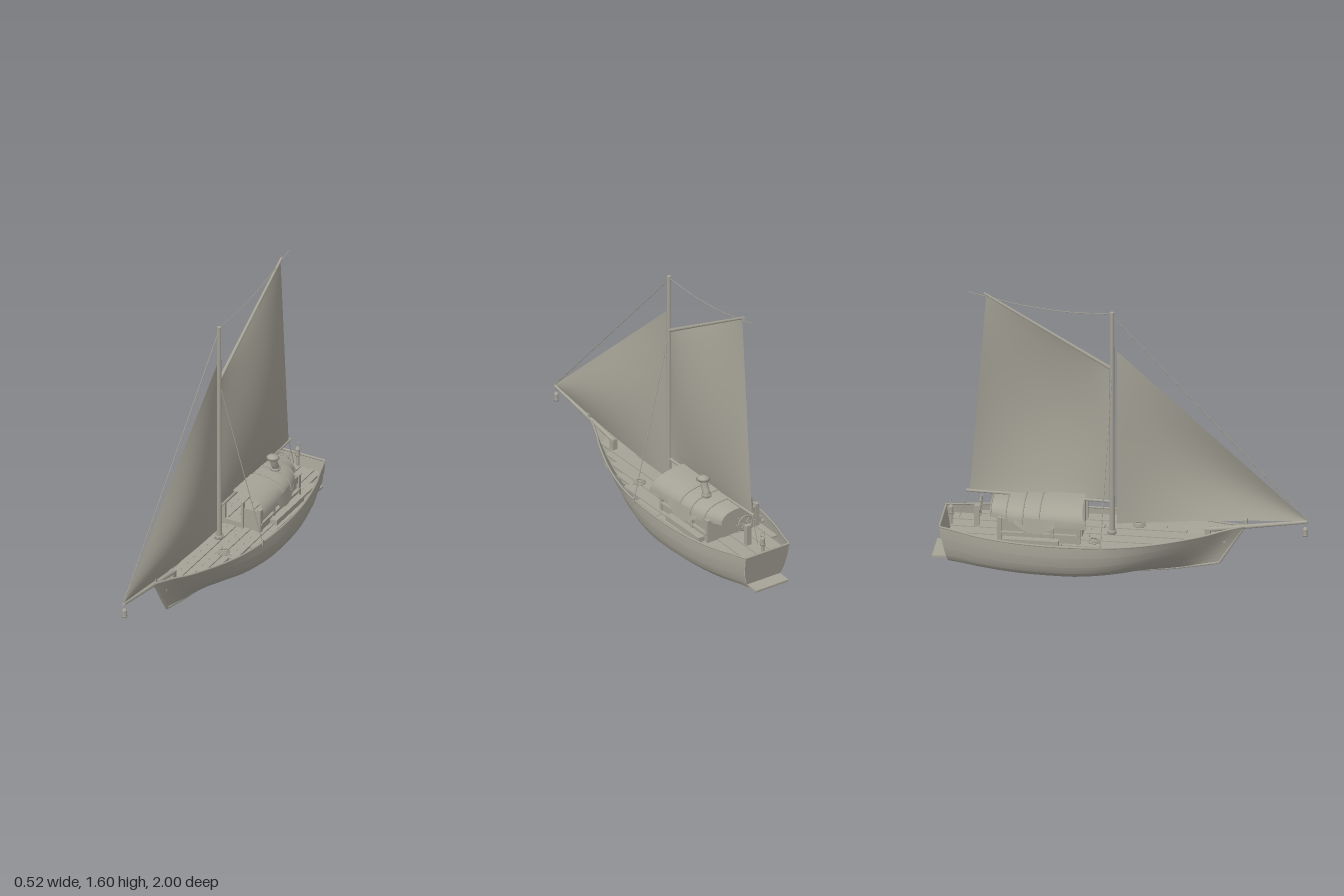
import * as THREE from 'three';

const V = (x, y, z) => new THREE.Vector3(x, y, z);
const lerp = THREE.MathUtils.lerp;
const weathered = new THREE.MeshStandardMaterial({ color: 0xa5a296, side: THREE.DoubleSide });
weathered.name = 'weatheredWood';

// Smooth lookup in an evenly spaced table, t in 0..1
function table(a, t) {
  const f = Math.min(Math.max(t, 0), 1) * (a.length - 1), i = Math.min(Math.floor(f), a.length - 2), k = f - i;
  const p0 = a[Math.max(i - 1, 0)], p1 = a[i], p2 = a[i + 1], p3 = a[Math.min(i + 2, a.length - 1)];
  return p1 + 0.5 * k * (p2 - p0 + k * (2 * p0 - 5 * p1 + 4 * p2 - p3 + k * (3 * (p1 - p2) + p3 - p0)));
}

// Surface from a rule fn(u, v) -> Vector3
function grid(nu, nv, fn) {
  const pos = [], idx = [];
  for (let i = 0; i <= nu; i++) for (let j = 0; j <= nv; j++) pos.push(...fn(i / nu, j / nv).toArray());
  for (let i = 0; i < nu; i++) for (let j = 0; j < nv; j++) {
    const a = i * (nv + 1) + j, b = a + nv + 1;
    idx.push(a, b, a + 1, b, b + 1, a + 1);
  }
  const g = new THREE.BufferGeometry();
  g.setAttribute('position', new THREE.Float32BufferAttribute(pos, 3));
  g.setIndex(idx);
  g.computeVertexNormals();
  return g;
}

// Hull form: u runs stern to bow, v runs keel to sheer
const HALF = [0.14, 0.2, 0.24, 0.254, 0.248, 0.228, 0.175, 0.095, 0.006];
const SHEER = [0.272, 0.258, 0.252, 0.25, 0.25, 0.257, 0.27, 0.288, 0.315];
const KEEL = [0.03, 0.017, 0.009, 0.006, 0.006, 0.012, 0.028, 0.053, 0.09];
const WIDE = [0, 0.32, 0.56, 0.76, 0.9, 0.98, 1];
const HIGH = [0, 0.04, 0.1, 0.22, 0.42, 0.7, 1];
const bowBlend = u => THREE.MathUtils.smoothstep(u, 0.45, 1);
function hullPoint(u, v, side, push = 0) {
  const b = bowBlend(u), h = lerp(table(HIGH, v), v, b);
  const w = lerp(table(WIDE, v), Math.pow(v, 0.9), b);
  const z = lerp(lerp(-0.91, -0.955, h), lerp(0.52, 0.66, h), u);
  const fade = push * (1 - b);
  return V(side * (w * table(HALF, u) + fade), lerp(table(KEEL, u), table(SHEER, u), h) - fade * 0.5, z);
}

export function createModel() {
  const root = new THREE.Group();
  root.name = 'sailingBoat';
  const add = (name, geo, parent = root) => {
    const m = new THREE.Mesh(geo, weathered);
    m.name = name;
    parent.add(m);
    return m;
  };
  const box = (name, w, h, d, x, y, z) => {
    const m = add(name, new THREE.BoxGeometry(w, h, d));
    m.position.set(x, y, z);
    return m;
  };
  const spar = (name, a, b, r0, r1 = r0, sides = 10) => {
    const m = add(name, new THREE.CylinderGeometry(r1, r0, a.distanceTo(b), sides));
    m.position.copy(a).lerp(b, 0.5);
    m.quaternion.setFromUnitVectors(V(0, 1, 0), b.clone().sub(a).normalize());
    return m;
  };
  const tube = (name, pts, r, n = 24, sides = 6) =>
    add(name, new THREE.TubeGeometry(new THREE.CatmullRomCurve3(pts), n, r, sides));
  const lathe = (name, pts, x, y, z, sides = 14) => {
    const m = add(name, new THREE.LatheGeometry(pts.map(p => new THREE.Vector2(...p)), sides));
    m.position.set(x, y, z);
    return m;
  };

  // Overlapping strakes, with cap rails on both sides
  const N = 7;
  for (const s of [-1, 1]) {
    for (let k = 0; k < N; k++)
      add('hullStrake', grid(32, 3, (u, v) =>
        hullPoint(u, (k + v) / N, s, k ? 0.005 * (1 - v) : 0)));
    tube('capRail', Array.from({ length: 17 }, (_, i) => hullPoint(i / 16, 1, s)), 0.006, 48);
  }
  add('transom', grid(12, 1, (u, v) => hullPoint(0, u, v ? 1 : -1)));
  tube('transomRail', [hullPoint(0, 1, -1), hullPoint(0, 1, 1)], 0.007, 2);
  tube('stem', [hullPoint(1, 0, 0), hullPoint(1, 0.5, 0), hullPoint(1, 1, 0)], 0.008, 6);
  tube('keel', Array.from({ length: 13 }, (_, i) => hullPoint(i / 12, 0, 0).add(V(0, 0.002, 0))), 0.007, 32);
  box('sternPlatform', 0.21, 0.012, 0.09, 0, 0.08, -0.953).rotation.x = -0.06;

  // Deck planks cut to the hull in steps
  const deckY = 0.222;
  for (let i = -5; i <= 5; i++) {
    const x = i * 0.041;
    let z0 = 1, z1 = -1;
    for (let u = 0.02; u < 0.98; u += 0.01) {
      if (table(HALF, u) * lerp(0.98, 0.72, bowBlend(u)) < Math.abs(x) + 0.02) continue;
      const z = lerp(-0.94, 0.62, u);
      z0 = Math.min(z0, z);
      z1 = Math.max(z1, z);
    }
    const cut = lerp(z0, z1, 0.45 + 0.1 * (Math.abs(i) % 3));
    for (const [a, b] of [[z0, cut - 0.002], [cut + 0.002, z1]])
      box('deckPlank', 0.038, 0.012, b - a, x, deckY - (Math.abs(i) % 2) * 0.003, (a + b) / 2);
  }

  // Cabin walls, corner posts and window bands
  for (const s of [-1, 1]) {
    box('cabinSide', 0.012, 0.055, 0.42, s * 0.155, 0.25, -0.42);
    box('cabinSideTop', 0.012, 0.04, 0.42, s * 0.155, 0.335, -0.42);
    box('cabinSidePanel', 0.008, 0.06, 0.4, s * 0.15, 0.295, -0.42);
    box('windowSill', 0.025, 0.01, 0.43, s * 0.16, 0.275, -0.42);
    for (const z of [-0.21, -0.35, -0.49, -0.63])
      box('cabinPost', 0.022, 0.14, 0.022, s * 0.157, 0.29, z);
    box('frontPanel', 0.09, 0.12, 0.012, s * 0.105, 0.285, -0.215);
    box('doorPost', 0.014, 0.16, 0.018, s * 0.055, 0.3, -0.21);
    box('sideBench', 0.04, 0.03, 0.3, s * 0.185, 0.24, -0.46);
  }
  box('cabinBack', 0.3, 0.12, 0.012, 0, 0.285, -0.63);
  box('doorSill', 0.11, 0.03, 0.02, 0, 0.24, -0.21);

  // Canopy: an arched forward cover over a tapering ribbed hood
  const arch = (w, top, eave, z, v) => {
    const a = Math.PI * (1 - v), c = Math.cos(a);
    return V(w * Math.sign(c) * Math.pow(Math.abs(c), 0.8), eave + (top - eave) * Math.pow(Math.abs(Math.sin(a)), 0.75), z);
  };
  const HOODW = [0.175, 0.19, 0.185, 0.16, 0.105], HOODTOP = [0.43, 0.437, 0.435, 0.425, 0.402];
  const hood = (u, v, out = 0) => arch(table(HOODW, u) + out, table(HOODTOP, u) + out, 0.335, lerp(-0.3, -0.685, u), v);
  add('canopyHood', grid(16, 20, (u, v) => hood(u, v)));
  add('hoodEnd', grid(1, 20, (u, v) => { const p = hood(1, v); return V(p.x, lerp(0.335, p.y, u), p.z); }));
  for (const u of [0.3, 0.53, 0.77, 1])
    tube('hoodRib', Array.from({ length: 13 }, (_, i) => hood(u, i / 12, 0.002)), 0.004, 28, 5);
  add('forwardCover', grid(6, 20, (u, v) => {
    const p = arch(lerp(0.205, 0.195, u), 0.447, 0.335, lerp(-0.19, -0.39, u), v);
    p.z += u < 0.01 ? 0.035 * Math.pow(Math.abs(2 * v - 1), 4) : 0;
    return p;
  }));
  for (const s of [-1, 1])
    add('hangingFlap', grid(10, 4, (u, v) => V(s * (0.196 + 0.012 * v - 0.03 * u * u),
      0.375 - v * (0.04 + 0.045 * Math.sin(Math.PI * u)), lerp(-0.33, -0.55, u))));

  // Stove pipe with a conical cap
  tube('stovePipe', [V(0.085, 0.4, -0.515), V(0.085, 0.445, -0.515), V(0.085, 0.475, -0.5), V(0.085, 0.52, -0.485)], 0.02, 16, 12);
  lathe('pipeCollar', [[0.021, 0], [0.027, 0], [0.027, 0.012], [0.021, 0.012]], 0.085, 0.432, -0.515);
  lathe('pipeCap', [[0, 0], [0.037, 0], [0.03, 0.01], [0.014, 0.018], [0, 0.02]], 0.085, 0.518, -0.483);

  // Mast and spars
  spar('mast', V(0, 0.2, -0.05), V(0, 1.525, -0.05), 0.015, 0.011);
  lathe('mastCollar', [[0.012, 0], [0.024, 0], [0.022, 0.02], [0.012, 0.02]], 0, 0.227, -0.05);
  spar('gaff', V(0, 1.2, -0.062), V(0, 1.595, -0.735), 0.01, 0.007);
  spar('boom', V(0, 0.413, -0.06), V(0, 0.43, -0.83), 0.008);
  spar('bowsprit', V(0, 0.28, 0.45), V(0, 0.362, 0.995), 0.014, 0.009);
  box('bowsprit bracket', 0.035, 0.025, 0.02, 0, 0.345, 0.663);
  box('bowBitt', 0.03, 0.06, 0.03, 0, 0.26, 0.46);

  // Sails, bellied to the left
  const mainBelly = (u, v) => 0.062 * Math.pow(Math.sin(Math.PI * u), 0.8) * Math.pow(Math.sin(Math.PI * v), 0.8);
  add('mainSail', grid(18, 22, (u, v) => {
    const foot = V(0, 0.425, 0).setZ(lerp(-0.066, -0.81, u));
    const head = V(0, lerp(1.2, 1.583, u), lerp(-0.066, -0.722, u));
    return foot.lerp(head, v).setX(mainBelly(u, v));
  }));
  add('foreSail', grid(18, 22, (u, v) => {
    const z = lerp(0.995, -0.025, u), low = lerp(0.368, 0.285, u), high = lerp(0.368, 1.3, u);
    return V(0.06 * Math.sin(Math.PI * Math.pow(u, 1.2)) * Math.sin(Math.PI * (0.08 + 0.92 * v)), lerp(low, high, v), z);
  }));

  // Rigging
  spar('foreStay', V(0, 0.37, 0.995), V(0, 1.5, -0.045), 0.003, 0.003, 5);
  for (const s of [-1, 1]) {
    spar('shroud', V(s * 0.248, 0.25, -0.08), V(0, 1.18, -0.05), 0.0025, 0.0025, 5);
    box('shroudPlate', 0.008, 0.03, 0.015, s * 0.25, 0.255, -0.08);
  }
  tube('peakLine', [V(0, 1.515, -0.05), V(0, 1.513, -0.3), V(0, 1.54, -0.55), V(0, 1.575, -0.72), V(0, 1.597, -0.82)], 0.0025, 24, 5);
  spar('mainSheet', V(0, 0.43, -0.81), V(0, 0.27, -0.865), 0.0025, 0.0025, 5);

  // Steering wheel on its pedestal
  box('wheelPedestal', 0.03, 0.12, 0.025, 0, 0.285, -0.772);
  add('wheelRim', new THREE.TorusGeometry(0.042, 0.005, 6, 24)).position.set(0, 0.348, -0.75);
  for (let i = 0; i < 4; i++) {
    const a = i * Math.PI / 4, d = V(Math.cos(a), Math.sin(a), 0).multiplyScalar(0.062), c = V(0, 0.348, -0.75);
    spar('wheelSpoke', c.clone().sub(d), c.clone().add(d), 0.003, 0.003, 6);
  }

  // Lanterns at the bowsprit tip and stern
  const lantern = [[0, 0], [0.014, 0], [0.014, 0.008], [0.011, 0.01], [0.012, 0.038], [0.014, 0.04], [0.006, 0.052], [0, 0.053]];
  lathe('bowLantern', lantern, 0, 0.278, 0.983);
  spar('lanternHook', V(0, 0.325, 0.983), V(0, 0.36, 0.983), 0.002, 0.002, 5);
  lathe('sternLantern', lantern, 0, 0.288, -0.91);
  spar('sternPost', V(0, 0.22, -0.91), V(0, 0.29, -0.91), 0.009);
  add('lanternRing', new THREE.TorusGeometry(0.014, 0.002, 5, 14)).position.set(0, 0.354, -0.91);

  // Rope coils on deck
  for (const [x, z] of [[-0.127, -0.13], [0.1, 0.08]]) {
    tube('ropeCoil', Array.from({ length: 30 }, (_, i) => {
      const r = 0.034 - i * 0.0006, a = i * 0.72;
      return V(x + r * Math.cos(a), 0.234 + i * 0.0005, z + r * Math.sin(a));
    }), 0.004, 80, 5);
  }
  return root;
}
